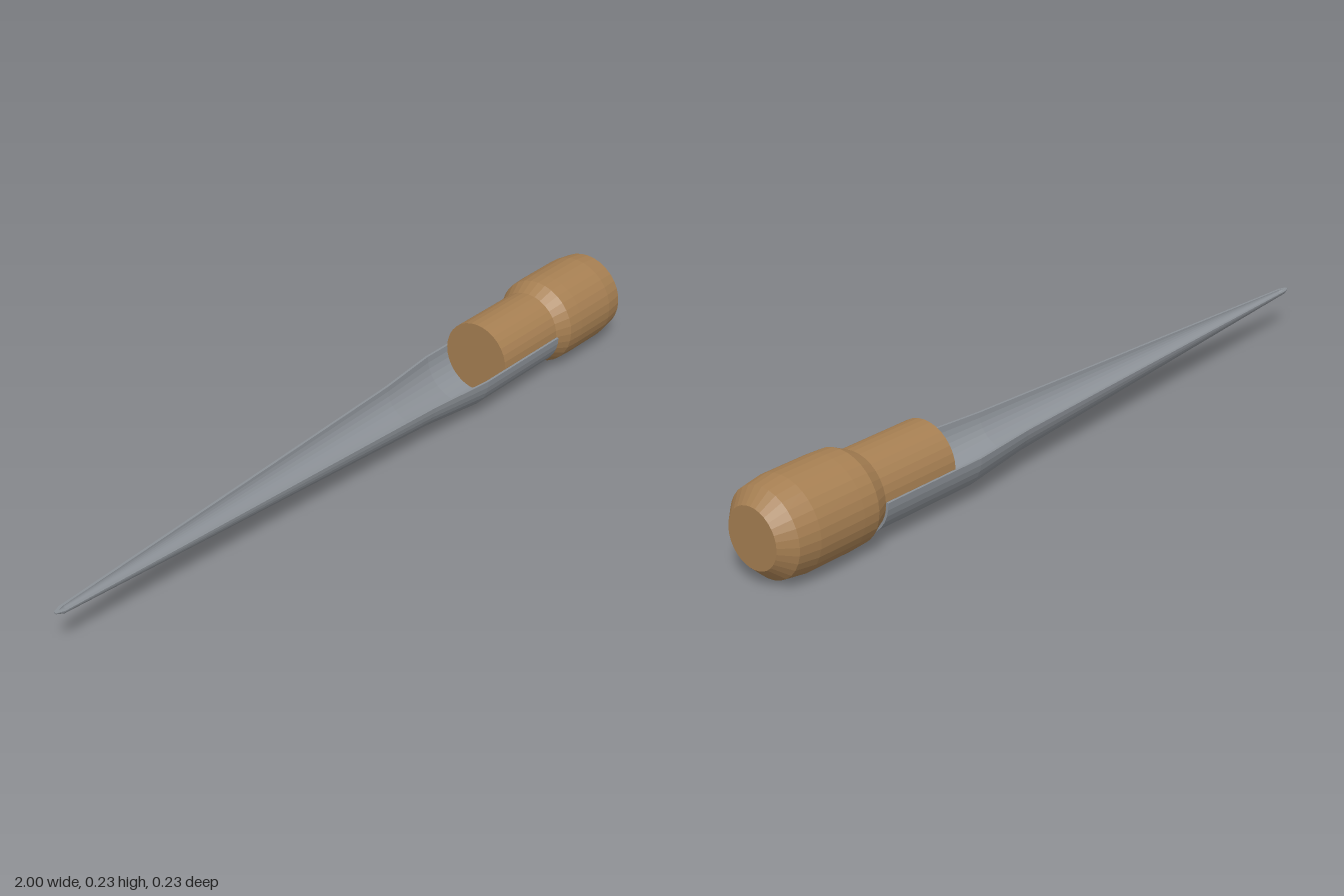
import * as THREE from 'three';

const AXIS_Y = 0.117;

// Faceted lathe whose axis runs along x; profile points are [x, radius].
function latheX(profile, segments, arc) {
  const points = profile.map(([x, r]) => new THREE.Vector2(r, x));
  const turned = new THREE.LatheGeometry(points, segments, 0, arc);
  turned.rotateZ(-Math.PI / 2);
  const flat = turned.toNonIndexed();
  flat.computeVertexNormals();
  return flat;
}

export function createModel() {
  const wood = new THREE.MeshStandardMaterial({ color: 0xa67f52 });
  wood.name = 'wood';
  const steel = new THREE.MeshStandardMaterial({ color: 0x8b9096 });
  steel.name = 'steel';

  const model = new THREE.Group();
  model.name = 'gouge';
  const add = (name, geometry, material, parent) => {
    const mesh = new THREE.Mesh(geometry, material);
    mesh.name = name;
    parent.add(mesh);
  };

  // Turned handle: slim neck, flared grip, chamfered butt
  const handle = [
    [0.47, 0], [0.47, 0.0955], [0.695, 0.0955], [0.735, 0.115], [0.78, 0.117],
    [0.91, 0.117], [0.965, 0.109], [1, 0.075], [1, 0],
  ];
  add('handle', latheX(handle, 32, Math.PI * 2), wood, model);

  // Hollow half-round blade, tapering to the tip
  const blade = new THREE.Group();
  blade.name = 'blade';
  model.add(blade);
  const outer = [[-1, 0.004], [-0.98, 0.012], [0.2, 0.082], [0.39, 0.103], [0.695, 0.103]];
  const inner = [[0.695, 0.0965], [0.39, 0.0965], [0.2, 0.0755], [-0.97, 0.006], [-0.99, 0]];
  const section = [[-1, 0], ...outer, ...inner];
  add('bladeShell', latheX(section, 18, Math.PI), steel, blade);

  // Flat top edges closing the shell on both sides
  for (const side of [1, -1]) {
    const shape = new THREE.Shape(section.map(([x, r]) => new THREE.Vector2(x, -side * r)));
    const rim = new THREE.ShapeGeometry(shape);
    rim.rotateX(-Math.PI / 2);
    add(side > 0 ? 'frontRim' : 'backRim', rim, steel, blade);
  }

  model.children.forEach((part) => { part.position.y = AXIS_Y; });
  return model;
}
